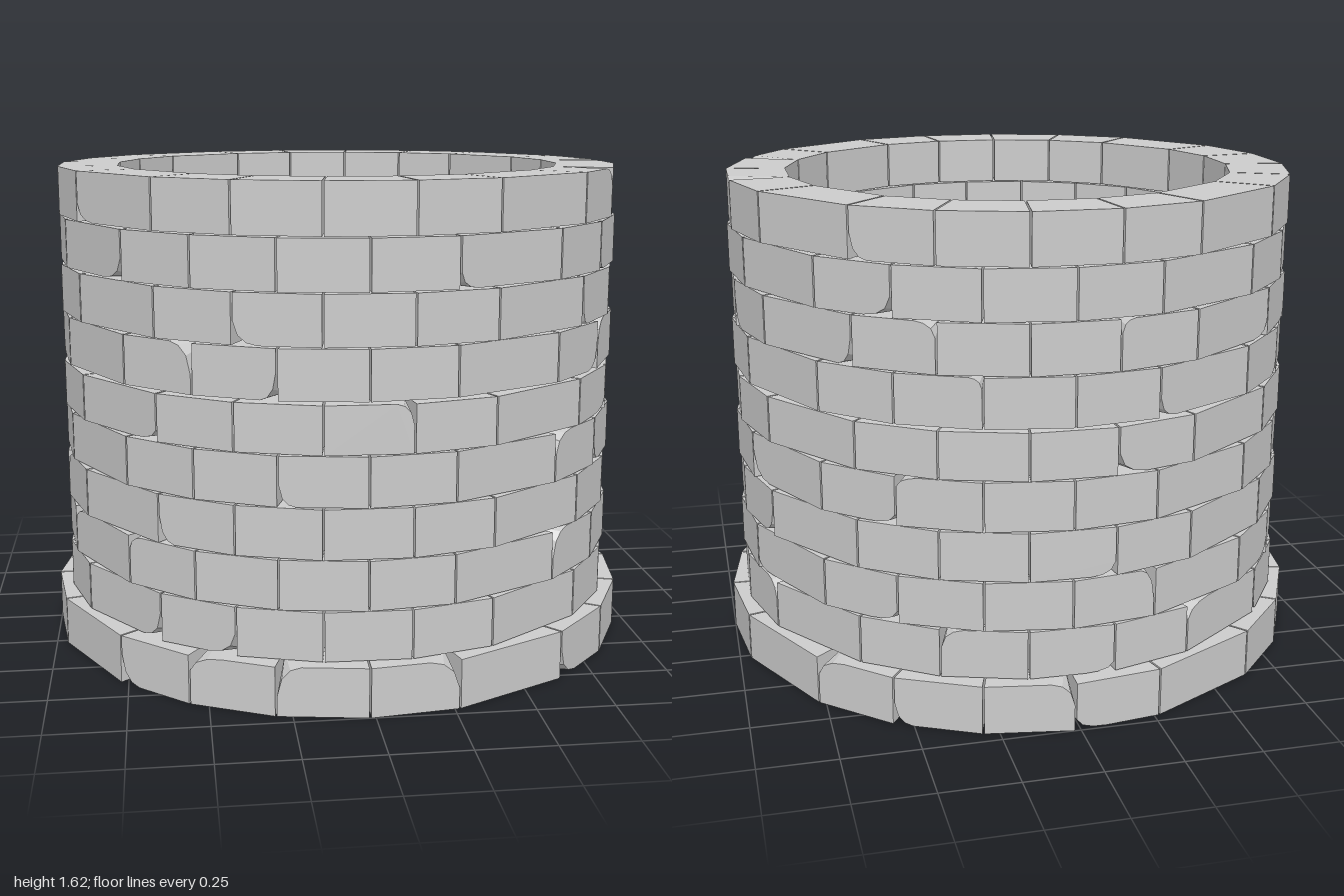
import * as THREE from 'three';
import { ConvexGeometry } from 'three/addons/geometries/ConvexGeometry.js';

const COURSES = 10, PITCH = 0.1615;
const DEG = Math.PI / 180;
// brick widths in one quarter turn: the second is a long closing brick
const WIDTHS = [16.5, 24, 16.5, 16.5, 16.5];

function seeded(seed) {
  return () => {
    seed = (seed * 16807) % 2147483647;
    return seed / 2147483647;
  };
}

// point on the ring: angle 0 faces +z, positive angles turn toward +x
const polar = (r, a, y) => new THREE.Vector3(r * Math.sin(a), y, r * Math.cos(a));

// One straight-sided brick; chip cuts off one outer corner
function brickGeometry(a0, a1, y0, y1, rIn, rOut, gap, chip) {
  const corner = (side, top, outer) => {
    const r = outer ? rOut : rIn;
    const p = polar(r, side ? a1 : a0, top ? y1 : y0);
    const other = polar(r, side ? a0 : a1, p.y);
    return p.add(other.sub(p).setLength(gap));   // mortar joint
  };
  const points = [];
  for (const side of [0, 1]) for (const top of [0, 1]) for (const outer of [0, 1]) {
    const p = corner(side, top, outer);
    if (!chip || !outer || side !== chip.side || top !== chip.top) {
      points.push(p);
      continue;
    }
    const along = corner(1 - side, top, 1).sub(p).setLength(chip.along);
    const down = new THREE.Vector3(0, top ? -chip.down : chip.down, 0);
    const inward = corner(side, top, 0).sub(p).multiplyScalar(chip.depth);
    points.push(p.clone().add(along), p.clone().add(down), p.clone().add(inward));
    // rounded break line on the outer face
    for (const t of [0.3, 0.6]) {
      points.push(p.clone()
        .addScaledVector(along, 1 - Math.sin(t * Math.PI / 2))
        .addScaledVector(down, 1 - Math.cos(t * Math.PI / 2)));
    }
  }
  return new ConvexGeometry(points);
}

export function createModel() {
  const well = new THREE.Group();
  well.name = 'stoneWell';
  const stone = new THREE.MeshStandardMaterial({ color: 0xcccccc, flatShading: true });
  const random = seeded(4711);

  for (let row = 0; row < COURSES; row++) {
    const course = new THREE.Group();
    course.name = row === 0 ? 'baseCourse' : `course${row}`;
    const rOut = row === 0 ? 1 : 0.955;
    const rIn = row === 0 ? 0.795 : 0.757;
    const y0 = row * PITCH + (row === 0 ? 0 : 0.002);
    // a slightly wider bed joint under the seventh course
    const y1 = (row + 1) * PITCH - (row === 5 ? 0.008 : row === COURSES - 1 ? 0 : 0.002);

    // running bond: every other course is turned by half a brick
    let angle = row % 2 ? 7.25 : -1;
    for (let quarter = 0; quarter < 4; quarter++) {
      for (const width of WIDTHS) {
        const chip = random() < 0.33 ? {
          side: random() < 0.5 ? 0 : 1,
          top: random() < 0.5 ? 0 : 1,
          along: 0.04 + 0.08 * random(),
          down: 0.03 + 0.07 * random(),
          depth: 0.25 + 0.7 * random(),
        } : null;
        const brick = new THREE.Mesh(
          brickGeometry(angle * DEG, (angle + width) * DEG, y0, y1, rIn, rOut, 0.003, chip), stone);
        brick.name = 'brick';
        course.add(brick);
        angle += width;
      }
    }
    well.add(course);
  }
  return well;
}
